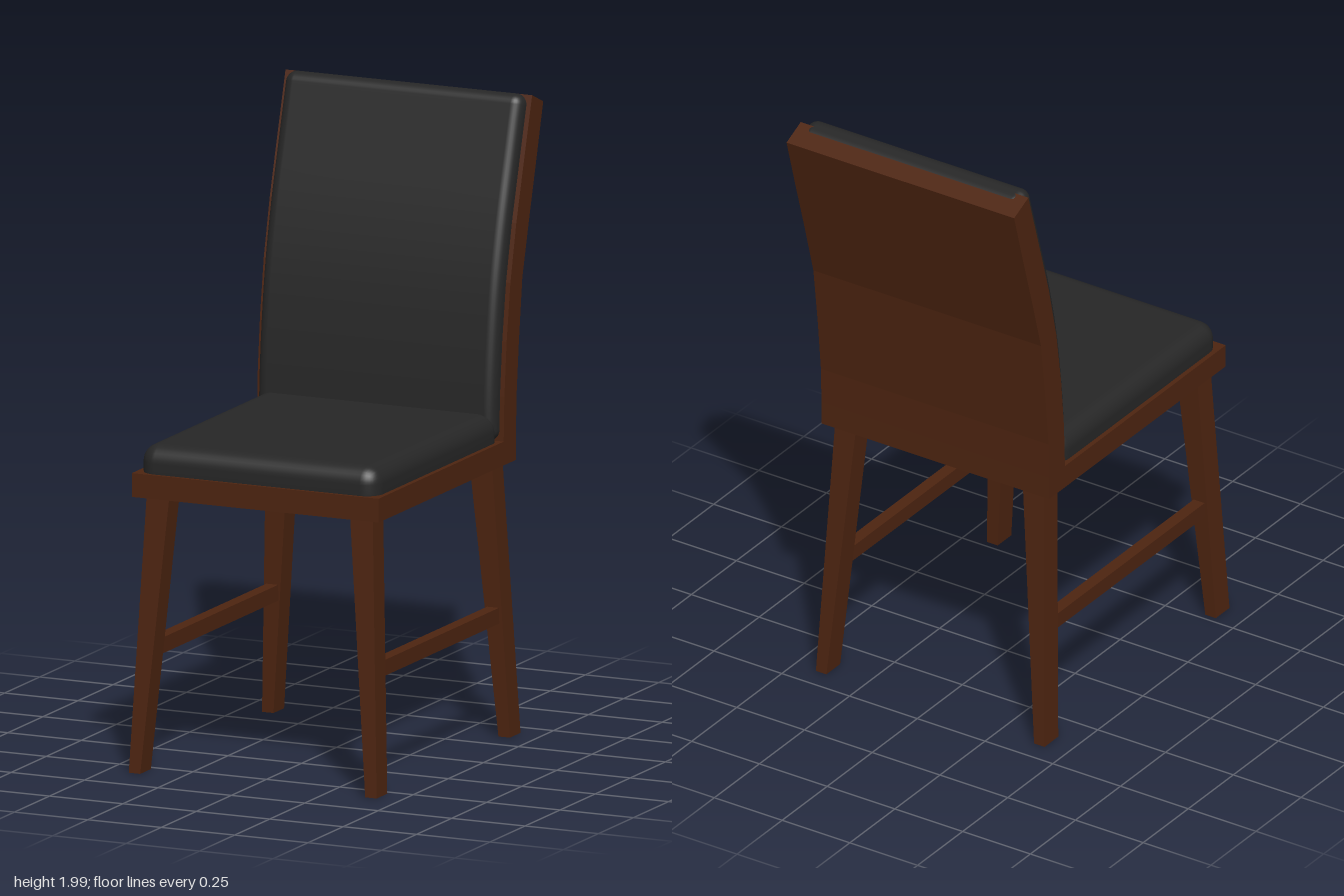
import * as THREE from 'three';
import { mergeVertices } from 'three/addons/utils/BufferGeometryUtils.js';

const wood = new THREE.MeshStandardMaterial({ color: 0x4d2410 });
wood.name = 'dark wood';
const leather = new THREE.MeshStandardMaterial({ color: 0x262626 });
leather.name = 'black upholstery';

function part(name, geometry, material) {
  const mesh = new THREE.Mesh(geometry, material);
  mesh.name = name;
  return mesh;
}

// Box with rounded edges; rows are packed into the edges, n[i] segments per axis
function cushionGeometry(size, n, r, place) {
  const box = new THREE.BoxGeometry(...size, ...n);
  box.deleteAttribute('normal');
  box.deleteAttribute('uv');
  const pos = box.attributes.position;
  const edge = 4;
  const p = new THREE.Vector3(), core = new THREE.Vector3();
  for (let i = 0; i < pos.count; i++) {
    p.fromBufferAttribute(pos, i);
    ['x', 'y', 'z'].forEach((a, k) => {
      const half = size[k] / 2, inner = half - r;
      const row = Math.round((p[a] / size[k] + 0.5) * n[k]);
      const fromEnd = Math.min(row, n[k] - row);
      if (fromEnd <= edge) {
        const side = row < n[k] / 2 ? -1 : 1;
        p[a] = side * (inner + r * Math.tan((1 - fromEnd / edge) * Math.PI / 4));
      } else {
        p[a] = inner * (2 * (row - edge) / (n[k] - 2 * edge) - 1);
      }
      core[a] = THREE.MathUtils.clamp(p[a], -inner, inner);
    });
    p.sub(core).setLength(r).add(core);
    place(p);
    pos.setXYZ(i, p.x, p.y, p.z);
  }
  const geometry = mergeVertices(box, 1e-5);
  geometry.computeVertexNormals();
  return geometry;
}

// Tapered, splayed leg: [x0, x1, z0, z1] at the top and at the floor
function legGeometry(top, foot, height) {
  const g = new THREE.BoxGeometry(1, 1, 1);
  const pos = g.attributes.position;
  for (let i = 0; i < pos.count; i++) {
    const up = pos.getY(i) > 0, s = up ? top : foot;
    pos.setXYZ(i, s[pos.getX(i) < 0 ? 0 : 1], up ? height : 0, s[pos.getZ(i) < 0 ? 2 : 3]);
  }
  g.computeVertexNormals();
  return g;
}

export function createModel() {
  const chair = new THREE.Group();
  chair.name = 'diningChair';

  // Seat frame
  const frame = part('seatFrame', new THREE.BoxGeometry(0.84, 0.075, 0.98), wood);
  frame.position.set(0, 0.9025, 0.09);
  chair.add(frame);

  // Seat cushion, sunk into the frame
  chair.add(part('seatCushion', cushionGeometry([0.81, 0.14, 0.89], [12, 9, 12], 0.055,
    (p) => p.add(new THREE.Vector3(0, 0.959, 0.125))), leather));

  // Curved backrest: side profile as [z, y], swept across the width
  const front = [[-0.312, 0.94], [-0.317, 1.08], [-0.333, 1.25], [-0.36, 1.43],
    [-0.402, 1.61], [-0.455, 1.79], [-0.515, 1.99]];
  const rear = [[-0.594, 1.955], [-0.543, 1.775], [-0.492, 1.6], [-0.445, 1.43],
    [-0.42, 1.23], [-0.403, 1.06], [-0.4, 0.94]];
  const profile = new THREE.Shape([...front, ...rear].map(([z, y]) => new THREE.Vector2(z, y)));
  const panel = new THREE.ExtrudeGeometry(profile, { depth: 0.84, bevelEnabled: false });
  panel.rotateY(-Math.PI / 2).translate(0.42, 0, 0);
  chair.add(part('backPanel', panel, wood));

  // Back cushion, bent along the front of the panel
  const bend = new THREE.CatmullRomCurve3(front.map(([z, y]) => new THREE.Vector3(0, y, z)));
  const length = bend.getLength();
  chair.add(part('backCushion', cushionGeometry([0.81, length, 0.09], [12, 28, 9], 0.035, (p) => {
    const u = THREE.MathUtils.clamp(p.y / length + 0.5, 0, 1);
    const c = bend.getPointAt(u), t = bend.getTangentAt(u);
    const out = p.z;
    p.set(p.x, c.y - t.z * out, c.z + t.y * out);
  }), leather));

  // Legs and side stretchers, mirrored left and right
  for (const [side, s] of [['left', 1], ['right', -1]]) {
    const xs = (a, b) => (s > 0 ? [a, b] : [-b, -a]);
    const topX = xs(0.308, 0.385), footX = xs(0.383, 0.422);
    chair.add(part(side + 'FrontLeg',
      legGeometry([...topX, 0.473, 0.548], [...footX, 0.522, 0.598], 0.866), wood));
    chair.add(part(side + 'RearLeg',
      legGeometry([...topX, -0.377, -0.302], [...footX, -0.428, -0.352], 0.866), wood));
    const stretcher = part(side + 'Stretcher', new THREE.BoxGeometry(0.04, 0.05, 0.86), wood);
    stretcher.position.set(s * 0.376, 0.386, 0.085);
    chair.add(stretcher);
  }
  return chair;
}
